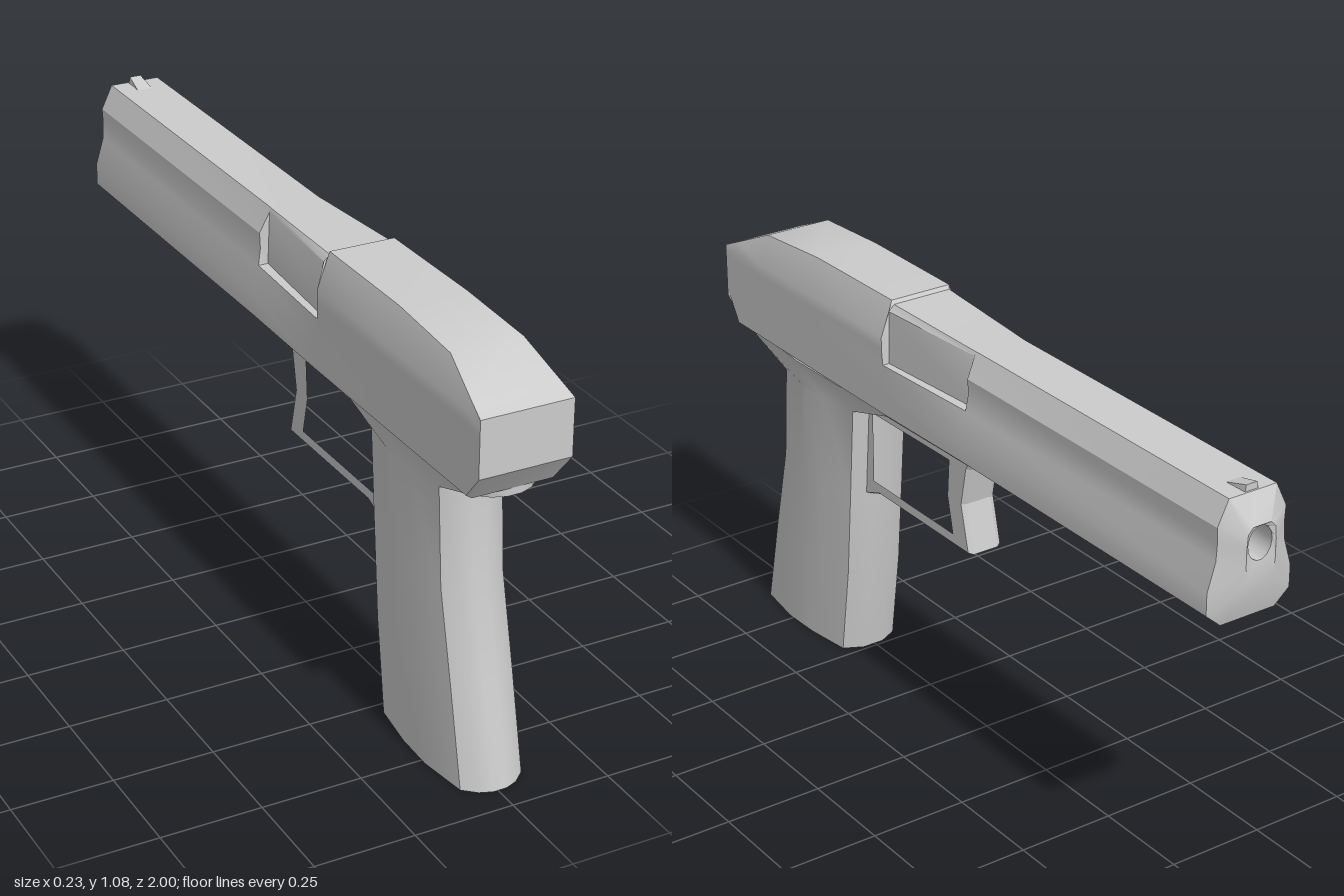
import * as THREE from 'three';
import { toCreasedNormals } from 'three/addons/utils/BufferGeometryUtils.js';

const material = new THREE.MeshStandardMaterial({ color: 0xcccccc });

// Skin a list of equal-length rings of [x, y, z]; caps are fans around each end's centre.
function loft(rings, capStart = true, capEnd = true, crease = 0.5) {
  const n = rings[0].length;
  const tris = [];
  for (let r = 0; r < rings.length - 1; r++) {
    for (let i = 0; i < n; i++) {
      const j = (i + 1) % n;
      const a = rings[r][i], b = rings[r][j], c = rings[r + 1][j], d = rings[r + 1][i];
      tris.push(a, b, c, a, c, d);
    }
  }
  const cap = (ring, flip) => {
    const mid = [0, 1, 2].map((k) => ring.reduce((s, p) => s + p[k], 0) / n);
    for (let i = 0; i < n; i++) {
      const a = ring[i], b = ring[(i + 1) % n];
      tris.push(mid, flip ? b : a, flip ? a : b);
    }
  };
  if (capStart) cap(rings[0], true);
  if (capEnd) cap(rings[rings.length - 1], false);
  const geometry = new THREE.BufferGeometry();
  geometry.setAttribute('position', new THREE.Float32BufferAttribute(tris.flat(), 3));
  return toCreasedNormals(geometry, crease);
}

// Mirror a half section, listed bottom to top, into a closed ring at depth z.
function section(z, half) {
  const right = half.map(([x, y]) => [x, y, z]);
  const left = half.map(([x, y]) => [-x, y, z]).reverse();
  return [...left.reverse(), ...right.reverse()];
}

function add(parent, name, geometry) {
  const mesh = new THREE.Mesh(geometry, material);
  mesh.name = name;
  parent.add(mesh);
  return mesh;
}

// Rear slide section: straight sides, sloped shoulders, flat top
const rear = (z, topX, topY) => section(z, [
  [0.1, 0.78], [0.115, 0.79], [0.115, 0.85], [0.115, 0.92], [0.115, 0.96], [0.115, 0.99], [topX, topY],
]);

// Front slide section: chamfered bottom, slim waist, rounded top
const frontHalf = (waist) => [
  [0.075, 0.76], [0.115, 0.795], [0.115, 0.85], [waist, 0.92], [0.092, 0.96], [0.094, 1.0], [0.065, 1.06],
];

function buildSlide() {
  const rearFace = section(1, [0.85, 0.87, 0.89, 0.92, 0.95, 0.97, 0.99].map((y) => [0.115, y]));
  const muzzleFace = section(-1, [
    [0.02, 0.86], [0.035, 0.88], [0.04, 0.9], [0.04, 0.93], [0.04, 0.95], [0.038, 0.98], [0.025, 0.995],
  ]);
  // Bore rings use matching angles so the muzzle face runs straight into the hole
  const bore = (z) => section(z, [...Array(7).keys()].map((i) => {
    const a = (i + 0.5) / 7 * Math.PI;
    return [0.033 * Math.sin(a), 0.95 - 0.042 * Math.cos(a)];
  }));
  return loft([
    rearFace,
    rear(0.95, 0.108, 1.012),
    rear(0.83, 0.09, 1.066),
    rear(0.6, 0.085, 1.08),
    rear(0.275, 0.083, 1.08),
    // side recess
    section(0.27, [
      [0.1, 0.775], [0.115, 0.79], [0.115, 0.85], [0.115, 0.92], [0.097, 0.92], [0.095, 1.055], [0.08, 1.07],
    ]),
    section(-0.05, [
      [0.075, 0.76], [0.115, 0.795], [0.115, 0.85], [0.1, 0.92], [0.075, 0.92], [0.07, 1.05], [0.066, 1.06],
    ]),
    section(-0.055, frontHalf(0.1)),
    section(-0.965, frontHalf(0.094)),
    muzzleFace,
    bore(-0.995),
    bore(-0.85),
  ]);
}

// Grip ring: nearly flat sides, rounded front and back
function gripRing(y, front, back, w) {
  const half = [
    [0.3, front], [0.8, front + 0.025], [0.97, front + (back - front) * 0.35],
    [1, front + (back - front) * 0.6], [0.82, back - 0.04], [0.5, back - 0.012], [0.18, back],
  ];
  const right = half.map(([x, z]) => [x * w, y, z]);
  const left = half.map(([x, z]) => [-x * w, y, z]).reverse();
  return [...right, ...left];
}

function buildGuard() {
  const outline = [
    [0.3, 0.775], [-0.01, 0.765], [0.015, 0.72], [0.035, 0.62], [0.005, 0.495],
    [0.4, 0.495], [0.47, 0.47], [0.5, 0.6], [0.47, 0.775],
  ];
  const opening = [[0.43, 0.72], [0.085, 0.725], [0.092, 0.62], [0.07, 0.52], [0.43, 0.52]];
  const toShape = (pts, Kind) => new Kind(pts.map(([z, y]) => new THREE.Vector2(-z, y)));
  const shape = toShape(outline, THREE.Shape);
  shape.holes.push(toShape(opening, THREE.Path));
  const geometry = new THREE.ExtrudeGeometry(shape, {
    depth: 0.07, bevelEnabled: true, bevelThickness: 0.012, bevelSize: 0.006, bevelOffset: -0.006, bevelSegments: 1,
  });
  geometry.translate(0, 0, -0.035).rotateY(Math.PI / 2);
  return geometry;
}

export function createModel() {
  const model = new THREE.Group();
  model.name = 'pistol';

  add(model, 'slide', buildSlide());

  // Grip leans back and flares out into the frame at the top
  const grip = add(model, 'grip', loft([
    gripRing(0, 0.51, 0.935, 0.0975),
    gripRing(0.24, 0.475, 0.882, 0.0975),
    gripRing(0.47, 0.455, 0.828, 0.0975),
    gripRing(0.715, 0.435, 0.81, 0.0975),
    gripRing(0.762, 0.28, 0.95, 0.1),
    gripRing(0.785, 0.25, 0.95, 0.11),
  ]));
  grip.position.x = 0.005;

  add(model, 'triggerGuard', buildGuard());

  // Small ramped front sight
  add(model, 'frontSight', loft([
    section(-0.9, [[0.02, 1.05], [0.02, 1.06]]),
    section(-0.96, [[0.02, 1.05], [0.015, 1.076]]),
  ]));

  // Turn any inside-out skin outward by checking its signed volume
  model.children.forEach(({ geometry }) => {
    const p = geometry.attributes.position;
    if (geometry.index) return;
    const v = [0, 1, 2].map(() => new THREE.Vector3());
    let volume = 0;
    for (let i = 0; i < p.count; i += 3) {
      v.forEach((q, k) => q.fromBufferAttribute(p, i + k));
      volume += v[0].dot(v[1].clone().cross(v[2]));
    }
    if (volume >= 0) return;
    for (const attribute of Object.values(geometry.attributes)) {
      const size = attribute.itemSize;
      for (let i = 0; i < p.count; i += 3) {
        for (let k = 0; k < size; k++) {
          const b = attribute.getComponent(i + 1, k);
          attribute.setComponent(i + 1, k, attribute.getComponent(i + 2, k));
          attribute.setComponent(i + 2, k, b);
        }
      }
    }
    const normal = geometry.attributes.normal;
    for (let i = 0; i < normal.array.length; i++) normal.array[i] *= -1;
  });
  return model;
}
